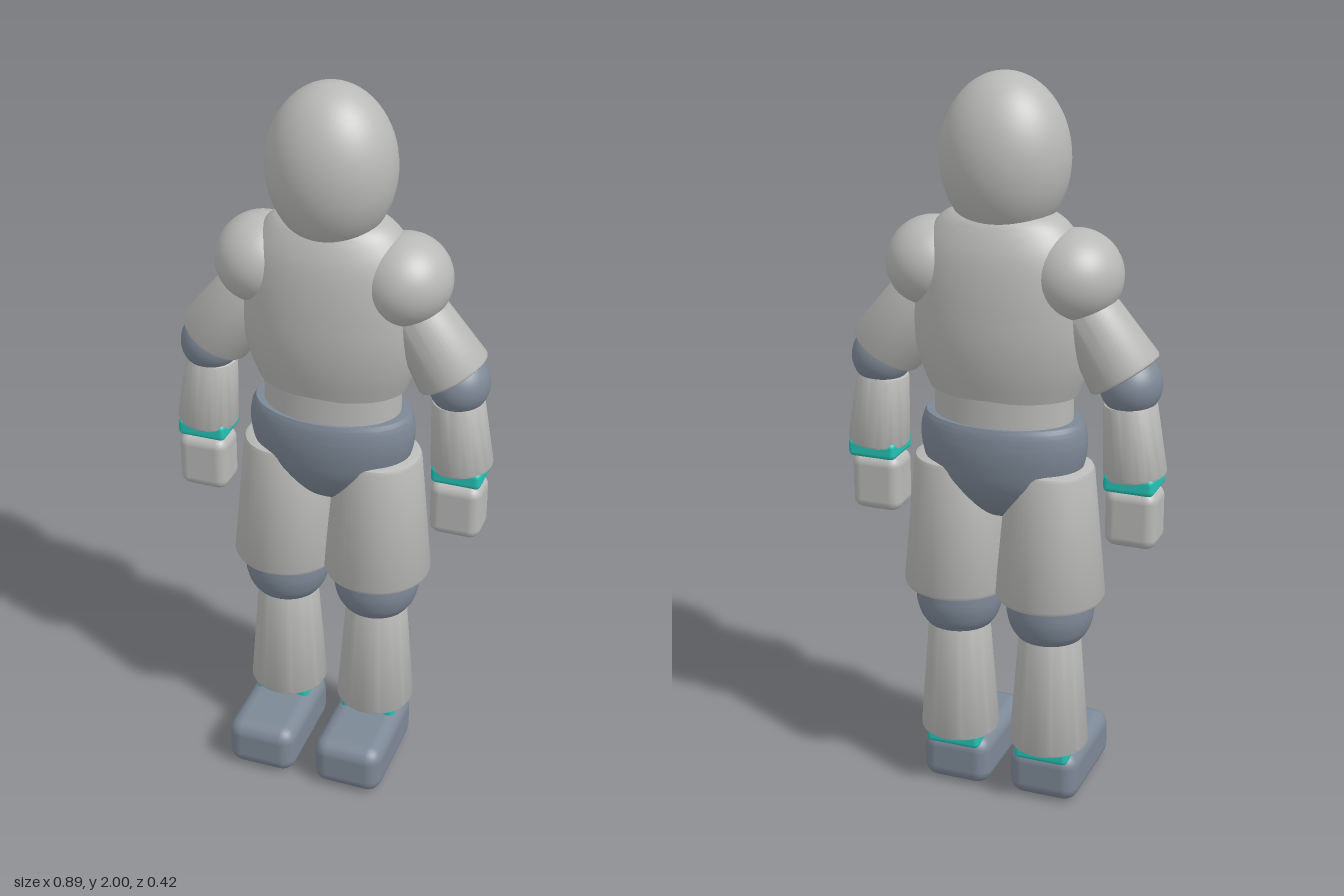
import * as THREE from 'three';
import { toCreasedNormals } from 'three/addons/utils/BufferGeometryUtils.js';
import { RoundedBoxGeometry } from 'three/addons/geometries/RoundedBoxGeometry.js';

const material = (name, color) => {
  const m = new THREE.MeshStandardMaterial({ color });
  m.name = name;
  return m;
};

const Z = -0.053; // depth of the body's centre line

export function createModel() {
  const grey = material('light grey', 0xb9b9b8);
  const slate = material('slate', 0x7d8896);
  const teal = material('teal', 0x25c4b6);
  const model = new THREE.Group();
  model.name = 'armouredFigure';

  const add = (parent, name, geometry, mat, x, y, z) => {
    const mesh = new THREE.Mesh(geometry, mat);
    mesh.name = name;
    mesh.position.set(x, y, z);
    parent.add(mesh);
    return mesh;
  };

  const ellipsoid = (rx, ry, rz) => new THREE.SphereGeometry(1, 48, 32).scale(rx, ry, rz);

  // Turned body with an oval section; points are [radius factor, y] from bottom to top
  const turned = (points, rx, rz, smooth) => {
    let pts = points.map(([r, y]) => new THREE.Vector2(r, y));
    if (smooth) {
      pts = new THREE.SplineCurve(pts).getPoints(36);
      pts.forEach((p) => { p.x = Math.max(p.x, 0); });
      pts.unshift(new THREE.Vector2(0, pts[0].y));
      pts.push(new THREE.Vector2(0, pts[pts.length - 1].y));
    }
    return toCreasedNormals(new THREE.LatheGeometry(pts, 48).scale(rx, 1, rz), 0.65);
  };

  // Tapered tube with softened rims, centred on its own axis
  const limb = (bottom, top, h, bevel = 0.01) => turned([
    [0, -h / 2], [bottom - bevel, -h / 2], [bottom - bevel * 0.3, -h / 2 + bevel * 0.3],
    [bottom, -h / 2 + bevel], [top, h / 2 - bevel], [top - bevel * 0.3, h / 2 - bevel * 0.3],
    [top - bevel, h / 2], [0, h / 2],
  ], 1, 1, false);

  // Head and trunk
  add(model, 'head', ellipsoid(0.168, 0.213, 0.157), grey, 0, 1.787, -0.041);
  add(model, 'chest', turned([
    [0.81, 1.18], [0.92, 1.25], [0.985, 1.32], [1, 1.39], [0.97, 1.48],
    [0.88, 1.56], [0.72, 1.62], [0.58, 1.648], [0.42, 1.66],
  ], 0.248, 0.158, true), grey, 0, 0, Z);
  add(model, 'waist', new THREE.CylinderGeometry(1, 1, 0.13, 48).scale(0.188, 1, 0.129),
    grey, 0, 1.14, Z);
  add(model, 'pelvis', turned([
    [0.05, 0.82], [0.38, 0.84], [0.66, 0.88], [0.88, 0.94], [0.975, 1.0],
    [1, 1.05], [0.975, 1.09], [0.93, 1.11],
  ], 0.228, 0.146, true), slate, 0, 0, Z);

  for (const side of [1, -1]) {
    const word = side > 0 ? 'left' : 'right';
    const arm = new THREE.Group();
    const leg = new THREE.Group();
    arm.name = word + 'Arm';
    leg.name = word + 'Leg';
    model.add(arm, leg);

    // Arm
    add(arm, 'shoulder', ellipsoid(0.122, 0.12, 0.13), grey, side * 0.194, 1.502, Z);
    const upper = add(arm, 'upperArm', limb(0.101, 0.076, 0.24), grey, side * 0.266, 1.353, Z);
    upper.rotation.z = side * 0.58;
    add(arm, 'elbow', ellipsoid(0.081, 0.082, 0.085), slate, side * 0.345, 1.232, Z);
    const fore = add(arm, 'forearm', limb(0.083, 0.07, 0.2), grey, side * 0.353, 1.085, Z);
    fore.rotation.z = side * 0.09;
    add(arm, 'cuff', new RoundedBoxGeometry(0.136, 0.05, 0.126, 2, 0.014), teal,
      side * 0.36, 0.976, Z);
    add(arm, 'hand', new RoundedBoxGeometry(0.14, 0.16, 0.114, 3, 0.03), grey,
      side * 0.36, 0.872, -0.043);

    // Leg
    add(leg, 'thigh', limb(0.148, 0.116, 0.38, 0.014), grey, side * 0.132, 0.795, Z);
    add(leg, 'knee', turned([
      [0.76, 0.49], [0.9, 0.515], [0.985, 0.55], [1, 0.58], [0.97, 0.62], [0.88, 0.66],
    ], 0.119, 0.116, true), slate, side * 0.132, 0, -0.05);
    add(leg, 'shin', limb(0.109, 0.083, 0.36), grey, side * 0.132, 0.34, Z);
    add(leg, 'ankleBand', new RoundedBoxGeometry(0.154, 0.05, 0.148, 2, 0.014), teal,
      side * 0.13, 0.15, Z);
    add(leg, 'foot', new RoundedBoxGeometry(0.198, 0.146, 0.324, 3, 0.042), slate,
      side * 0.129, 0.073, 0.046);
  }
  return model;
}
